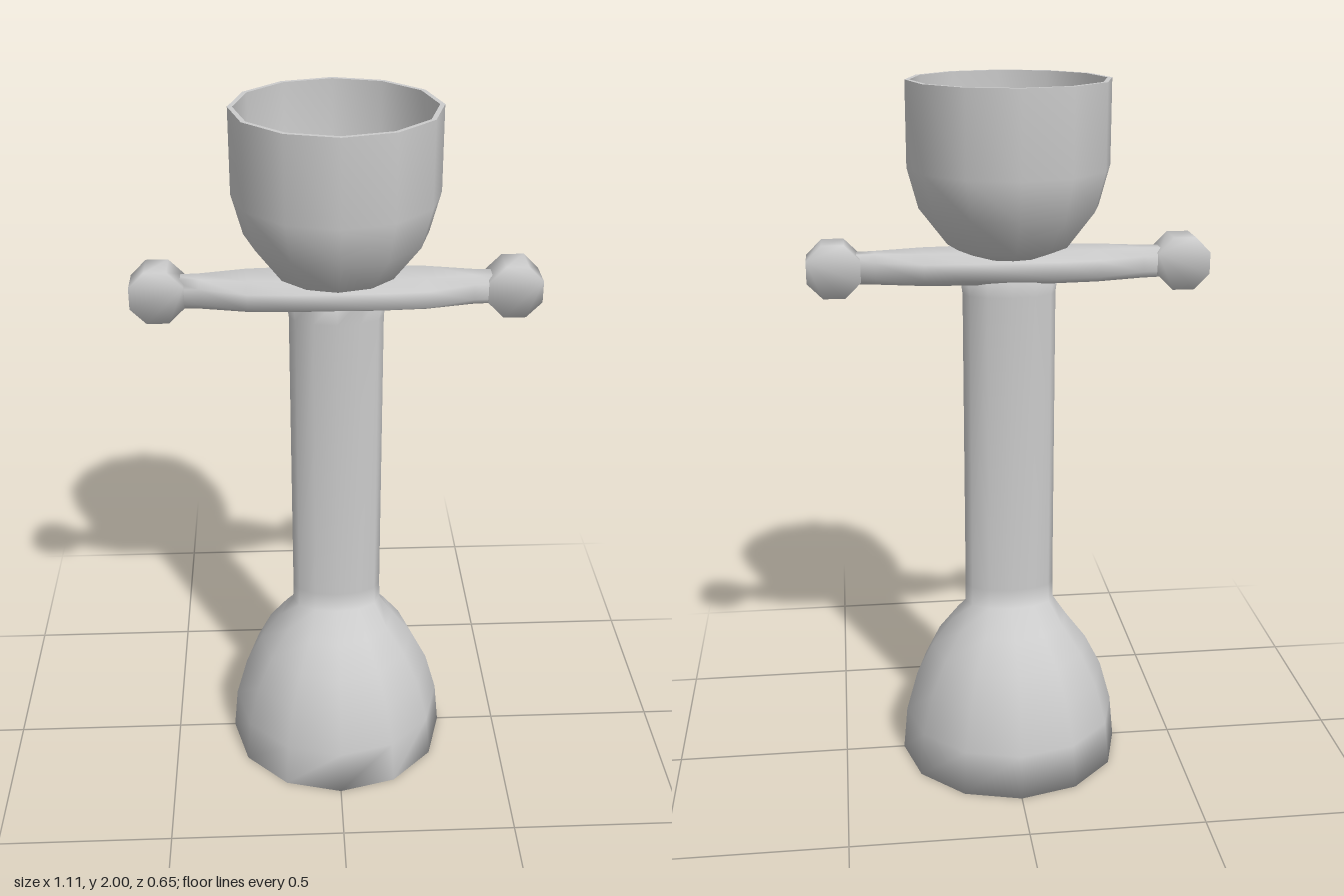
import * as THREE from 'three';

const material = new THREE.MeshStandardMaterial({ color: 0xcccccc });

// Smooth skin through closed rings of equal size, capped at both ends.
function loft(rings) {
  const n = rings[0].length, last = (rings.length - 1) * n;
  const positions = rings.flat(2), index = [];
  for (let r = 0; r < rings.length - 1; r++) {
    for (let i = 0; i < n; i++) {
      const a = r * n + i, b = r * n + (i + 1) % n;
      index.push(a, b, b + n, a, b + n, a + n);
    }
  }
  for (let i = 1; i < n - 1; i++) {
    index.push(0, i + 1, i, last, last + i, last + i + 1);
  }
  const geometry = new THREE.BufferGeometry();
  geometry.setAttribute('position', new THREE.Float32BufferAttribute(positions, 3));
  geometry.setIndex(index);
  geometry.computeVertexNormals();
  return geometry;
}

// n points around a ring, each made from the cosine and sine of its angle.
function ring(n, point, offset = 0) {
  return Array.from({ length: n }, (_, i) => {
    const a = (i / n) * Math.PI * 2 + offset;
    return point(Math.cos(a), Math.sin(a));
  });
}

const oval = (y, rx, rz) => ring(12, (c, s) => [rx * s, y, rz * c]);

const lathe = (profile) => new THREE.LatheGeometry(profile.map(([r, y]) => new THREE.Vector2(r, y)), 12);

export function createModel() {
  const group = new THREE.Group();
  const add = (name, geometry) => {
    const mesh = new THREE.Mesh(geometry, material);
    mesh.name = name;
    group.add(mesh);
    return mesh;
  };

  // Domed base that narrows into the oval handle
  add('baseAndHandle', loft([
    oval(0, 0.325, 0.325), oval(0.13, 0.313, 0.313), oval(0.25, 0.28, 0.28),
    oval(0.345, 0.232, 0.232), oval(0.425, 0.172, 0.165), oval(0.485, 0.132, 0.075),
    oval(0.54, 0.13, 0.066), oval(1.42, 0.13, 0.066), oval(1.5, 0.14, 0.08),
  ]));

  // Crossbar, wide in the middle and narrow near its knobs
  const bar = [[-0.45, 0.04, 0.04], [-0.37, 0.042, 0.042], [-0.24, 0.088, 0.044], [-0.12, 0.097, 0.045],
    [0.12, 0.097, 0.045], [0.24, 0.088, 0.044], [0.37, 0.042, 0.042], [0.45, 0.04, 0.04]];
  const flat = (v) => THREE.MathUtils.clamp(v * 1.35, -1, 1);
  add('crossbar', loft(bar.map(([x, halfZ, halfY]) =>
    ring(8, (c, s) => [x, 1.5 + halfY * flat(c), halfZ * flat(s)], Math.PI / 8))));

  // Eight-sided knobs at the ends of the crossbar
  const knobRadius = 0.073 / Math.cos(Math.PI / 8);
  const knob = loft([-0.048, 0.048].map((z) =>
    ring(8, (c, s) => [knobRadius * c, knobRadius * s, z], Math.PI / 8)));
  for (const side of [-1, 1]) {
    add(side > 0 ? 'leftKnob' : 'rightKnob', knob).position.set(side * 0.482, 1.5, 0);
  }

  // Hollow cup: outside, rim and inside
  add('cupOutside', lathe([[0, 1.515], [0.1, 1.53], [0.17, 1.56], [0.247, 1.66], [0.277, 1.77], [0.277, 2]]));
  add('cupRim', lathe([[0.277, 2], [0.264, 2]]));
  add('cupInside', lathe([[0.264, 2], [0.264, 1.775], [0.235, 1.67], [0.163, 1.575], [0.095, 1.548], [0, 1.54]]));

  return group;
}
